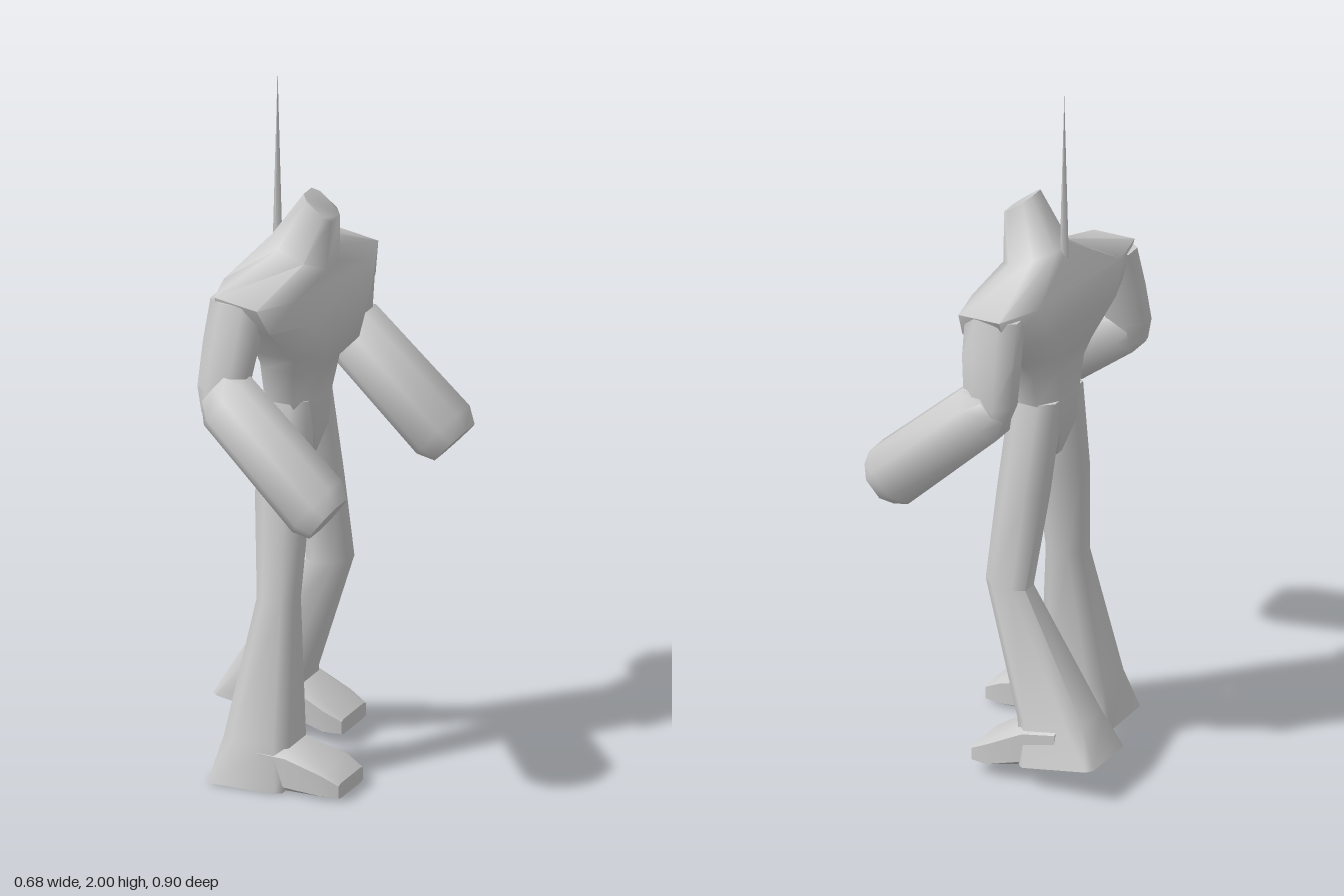
import * as THREE from 'three';
import { toCreasedNormals } from 'three/addons/utils/BufferGeometryUtils.js';

const material = new THREE.MeshStandardMaterial({ color: 0xcccccc });

// Skins eight-sided rings: [x, y, z, depth radius, width radius, tilt, yaw, squareness]
function loft(name, rings, crease = 1.0) {
  const N = 8, pos = [], index = [];
  for (const [x, y, z, ru, rv, tilt = 0, yaw = 0, k = 0.45] of rings) {
    const axis = new THREE.Vector3(0, 1, 0);
    const u = new THREE.Vector3(Math.cos(tilt), Math.sin(tilt), 0).applyAxisAngle(axis, -yaw);
    const v = new THREE.Vector3(0, 0, 1).applyAxisAngle(axis, -yaw);
    const corners = [[1, -k], [1, k], [k, 1], [-k, 1], [-1, k], [-1, -k], [-k, -1], [k, -1]];
    for (const [a, b] of corners) {
      const p = new THREE.Vector3(x, y, z).addScaledVector(u, a * ru).addScaledVector(v, b * rv);
      pos.push(p.x, p.y, p.z);
    }
  }
  for (let i = 0; i < rings.length - 1; i++) {
    for (let j = 0; j < N; j++) {
      const a = i * N + j, b = i * N + (j + 1) % N;
      index.push(a, b, b + N, a, b + N, a + N);
    }
  }
  const last = (rings.length - 1) * N;
  for (let j = 1; j < N - 1; j++) {
    index.push(0, j + 1, j, last, last + j, last + j + 1);
  }
  const geometry = new THREE.BufferGeometry();
  geometry.setAttribute('position', new THREE.Float32BufferAttribute(pos, 3));
  geometry.setIndex(index);
  const mesh = new THREE.Mesh(toCreasedNormals(geometry, crease), material);
  mesh.name = name;
  return mesh;
}

// Forearm sleeve: blunt tube with chamfered ends between elbow and hand
function forearm(name, elbow, hand) {
  const a = new THREE.Vector3(...elbow), b = new THREE.Vector3(...hand);
  const d = b.clone().sub(a);
  const tilt = Math.atan2(d.x, -d.y);
  const stations = [[0, 0.055], [0.1, 0.085], [0.9, 0.09], [1, 0.068]];
  return loft(name, stations.map(([t, r]) => {
    const p = a.clone().lerp(b, t);
    return [p.x, p.y, p.z, r, r, tilt];
  }));
}

// Foot: wedge running forward from the trouser hem to the toe
function foot(name, ankleX, z, sole) {
  const up = Math.PI / 2;
  return loft(name, [
    [ankleX - 0.1, sole[0] + 0.06, z, 0.06, 0.085, up, 0, 0.75],
    [ankleX, sole[1] + 0.06, z, 0.06, 0.088, up, 0, 0.7],
    [ankleX + 0.11, sole[2] + 0.04, z, 0.04, 0.092, up, 0, 0.75],
    [ankleX + 0.16, sole[2] + 0.025, z, 0.022, 0.08, up, 0, 0.8],
  ], 0.8);
}

export function createModel() {
  const model = new THREE.Group();
  model.name = 'figure';

  // Head, broad chest, waist and pelvis in one skin
  model.add(loft('torso', [
    [0.033, 1.633, -0.037, 0.054, 0.044, -0.66, 0, 0.6],
    [-0.02, 1.495, -0.05, 0.092, 0.082, -0.41, 0.08, 0.45],
    [-0.05, 1.425, -0.05, 0.115, 0.315, -0.1, 0.13, 0.6],
    [-0.04, 1.34, -0.05, 0.135, 0.275, 0, 0.13, 0.55],
    [-0.02, 1.23, -0.045, 0.122, 0.165, 0, 0.1, 0.5],
    [-0.035, 1.175, -0.04, 0.09, 0.13, 0, 0.05, 0.5],
    [-0.04, 1.08, -0.04, 0.08, 0.112],
    [-0.04, 0.98, -0.04, 0.075, 0.085],
    [-0.04, 0.89, -0.04, 0.045, 0.03],
  ], 1.2));

  // Upper arms, the left one swung back
  model.add(loft('leftUpperArm', [
    [-0.105, 1.42, 0.205, 0.075, 0.055],
    [-0.115, 1.3, 0.235, 0.075, 0.052],
    [-0.125, 1.18, 0.265, 0.068, 0.05],
    [-0.13, 1.11, 0.28, 0.045, 0.045],
  ]));
  model.add(loft('rightUpperArm', [
    [-0.03, 1.42, -0.305, 0.08, 0.055],
    [-0.035, 1.3, -0.335, 0.08, 0.052],
    [-0.045, 1.18, -0.36, 0.072, 0.05],
    [-0.045, 1.11, -0.36, 0.045, 0.045],
  ]));

  // Forearms reaching forward and down
  model.add(forearm('leftForearm', [-0.14, 1.18, 0.28], [0.235, 0.885, 0.365]));
  model.add(forearm('rightForearm', [-0.06, 1.18, -0.36], [0.285, 0.86, -0.36]));

  // Flared trouser legs, the right one trailing
  model.add(loft('leftLeg', [
    [-0.045, 1.08, 0.015, 0.07, 0.055],
    [-0.04, 0.8, 0.06, 0.072, 0.056],
    [-0.03, 0.52, 0.108, 0.055, 0.05, 0, 0, 0.5],
    [-0.055, 0.13, 0.145, 0.098, 0.085, 0, 0, 0.65],
    [-0.07, 0.005, 0.157, 0.112, 0.1, 0, 0, 0.85],
  ]));
  model.add(loft('rightLeg', [
    [-0.045, 1.08, -0.095, 0.07, 0.055],
    [-0.025, 0.8, -0.135, 0.07, 0.056],
    [-0.008, 0.54, -0.183, 0.062, 0.048, 0.1, 0, 0.5],
    [-0.185, 0.19, -0.221, 0.102, 0.085, -0.1, 0, 0.65],
    [-0.228, 0.08, -0.235, 0.118, 0.1, -0.17, 0, 0.85],
  ]));

  // Feet
  model.add(foot('leftFoot', 0.045, 0.15, [0.002, 0.002, 0.004]));
  model.add(foot('rightFoot', -0.12, -0.232, [0.07, 0.055, 0.03]));

  // Thin spike rising from the upper back
  const spike = new THREE.Mesh(new THREE.ConeGeometry(0.016, 0.56, 4), material);
  spike.name = 'backSpike';
  spike.position.set(-0.108, 1.72, -0.055);
  model.add(spike);

  return model;
}
